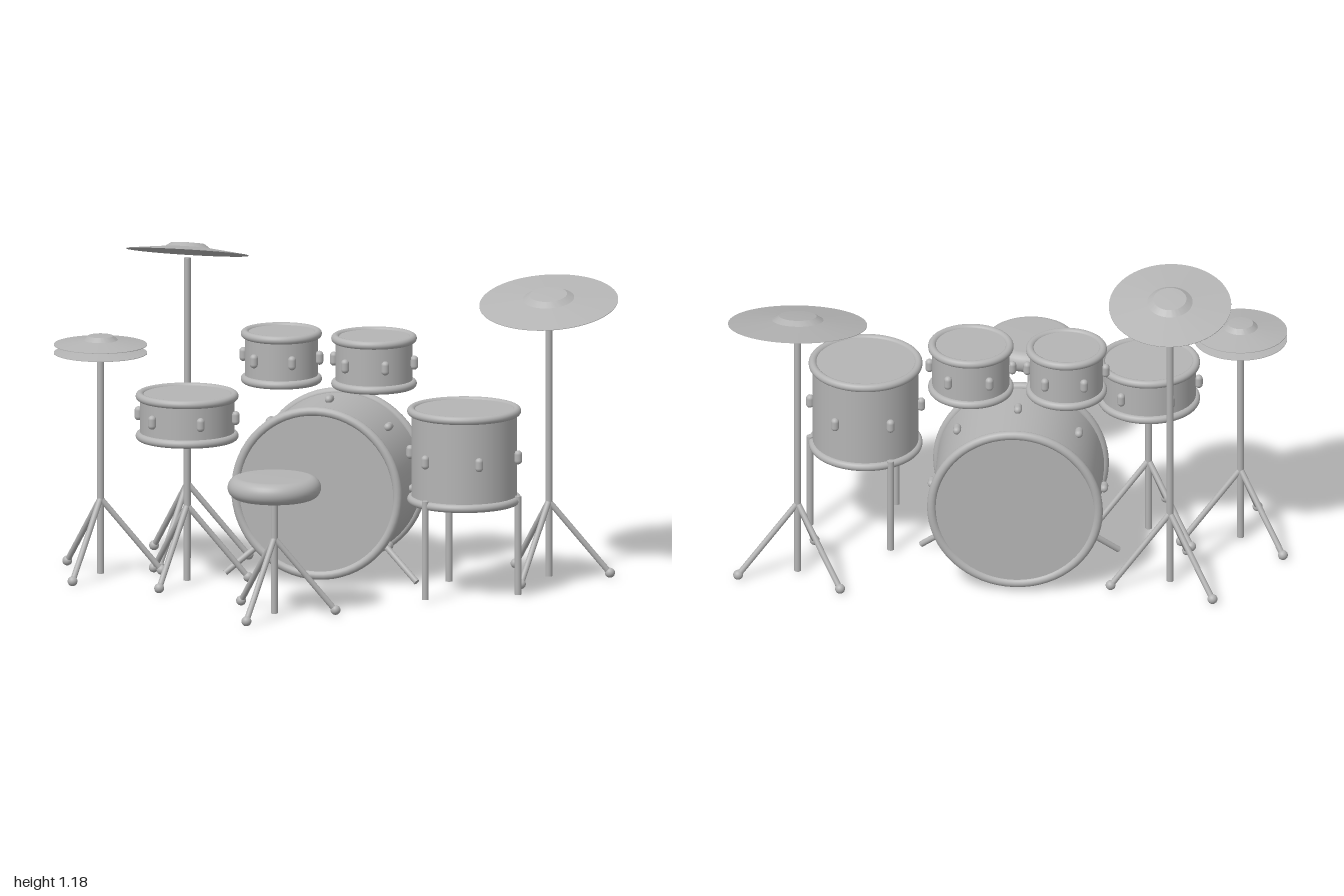
import * as THREE from 'three';
import { toCreasedNormals } from 'three/addons/utils/BufferGeometryUtils.js';

const grey = new THREE.MeshStandardMaterial({ color: 0xb4b4b4 });
grey.name = 'plain grey';

function part(parent, name, geometry, x = 0, y = 0, z = 0) {
  const mesh = new THREE.Mesh(geometry, grey);
  mesh.name = name;
  mesh.position.set(x, y, z);
  parent.add(mesh);
  return mesh;
}

function group(parent, name, x, y, z) {
  const g = new THREE.Group();
  g.name = name;
  g.position.set(x, y, z);
  parent.add(g);
  return g;
}

// Round bar between two points
function bar(parent, name, a, b, radius) {
  const from = new THREE.Vector3(...a), to = new THREE.Vector3(...b);
  const dir = to.clone().sub(from);
  const mesh = part(parent, name, new THREE.CylinderGeometry(radius, radius, dir.length(), 16));
  mesh.position.copy(from).addScaledVector(dir, 0.5);
  mesh.quaternion.setFromUnitVectors(new THREE.Vector3(0, 1, 0), dir.normalize());
  return mesh;
}

// Drum standing on its axis: shell, two heads, two hoops and a ring of lugs
function drum(parent, name, [x, y, z], radius, height, lugs, hoop = 0.015) {
  const g = group(parent, name, x, y, z);
  part(g, 'shell', new THREE.CylinderGeometry(radius, radius, height, 64));
  const headRadius = radius - 0.006;
  part(g, 'heads', new THREE.CylinderGeometry(headRadius, headRadius, height + 0.014, 64));
  for (const side of [-1, 1]) {
    part(g, 'hoop', new THREE.TorusGeometry(radius, hoop, 16, 64), 0, side * height / 2, 0).rotation.x = Math.PI / 2;
  }
  const lugGeometry = new THREE.CapsuleGeometry(0.0145, 0.022, 6, 14);
  for (let i = 0; i < lugs; i++) {
    const a = i / lugs * Math.PI * 2, r = radius + 0.01;
    part(g, 'lug', lugGeometry, Math.cos(a) * r, 0, Math.sin(a) * r);
  }
  return g;
}

// Pole with three splayed legs on round feet
function stand(parent, name, x, z, top) {
  const g = group(parent, name, x, 0, z);
  bar(g, 'pole', [0, 0.015, 0], [0, top, 0], 0.0125);
  const footGeometry = new THREE.SphereGeometry(0.018, 20, 14);
  for (let i = 0; i < 3; i++) {
    const a = -0.3 + i * Math.PI * 2 / 3;
    const fx = Math.cos(a) * 0.22, fz = Math.sin(a) * 0.22;
    bar(g, 'leg', [0, 0.29, 0], [fx, 0.024, fz], 0.0105);
    part(g, 'foot', footGeometry, fx, 0.025, fz);
  }
  return g;
}

// Thin cone with a raised bell and a flat underside
function cymbal(parent, name, radius, x, y, z, tilt = 0) {
  const profile = [[0, 0], [radius, 0], [radius, 0.002], [radius * 0.37, 0.018],
    [radius * 0.27, 0.033], [0, 0.036]].map(p => new THREE.Vector2(...p));
  const geometry = toCreasedNormals(new THREE.LatheGeometry(profile, 64), 0.3);
  part(parent, name, geometry, x, y, z).rotation.x = tilt;
}

export function createModel() {
  const kit = new THREE.Group();
  kit.name = 'drumKit';

  // Bass drum lying on its side, with two spurs
  drum(kit, 'bassDrum', [-0.037, 0.335, -0.344], 0.3, 0.372, 8, 0.0165).rotation.x = Math.PI / 2;
  for (const side of [-1, 1]) {
    bar(kit, 'bassSpur', [-0.037 + side * 0.2, 0.15, -0.29], [-0.037 + side * 0.355, 0.015, -0.22], 0.011);
  }

  // Rack toms
  drum(kit, 'rightRackTom', [-0.21, 0.798, -0.322], 0.131, 0.165, 6);
  drum(kit, 'leftRackTom', [0.134, 0.798, -0.32], 0.139, 0.165, 6);

  // Floor tom on three legs
  const [fx, fz] = [0.526, -0.093];
  drum(kit, 'floorTom', [fx, 0.517, fz], 0.19, 0.322, 6);
  for (let i = 0; i < 3; i++) {
    const a = i * Math.PI * 2 / 3, x = fx + Math.cos(a) * 0.2, z = fz + Math.sin(a) * 0.2;
    bar(kit, 'floorTomLeg', [x, 0.015, z], [x, 0.375, z], 0.0125);
  }

  // Snare
  drum(kit, 'snareDrum', [-0.49, 0.618, -0.05], 0.17, 0.145, 6);
  stand(kit, 'snareStand', -0.49, -0.05, 0.54);

  // Paired cymbals
  stand(kit, 'hiHatStand', -0.823, -0.097, 0.818);
  cymbal(kit, 'lowerHiHat', 0.168, -0.823, 0.822, -0.097);
  cymbal(kit, 'upperHiHat', 0.168, -0.823, 0.852, -0.097);

  // Tilted cymbals
  stand(kit, 'crashStand', -0.59, -0.445, 1.115);
  cymbal(kit, 'crashCymbal', 0.22, -0.59, 1.135, -0.445, -0.25);
  stand(kit, 'rideStand', 0.75, -0.445, 1.0);
  cymbal(kit, 'rideCymbal', 0.25, 0.75, 1.016, -0.445, 0.22);

  // Stool with a rounded cushion
  stand(kit, 'stoolStand', -0.037, 0.458, 0.45);
  const cushion = [new THREE.Vector2(0, 0)];
  for (let i = 0; i <= 14; i++) {
    const a = -Math.PI / 2 + i / 14 * Math.PI;
    cushion.push(new THREE.Vector2(0.13 + Math.cos(a) * 0.038, 0.039 + Math.sin(a) * 0.039));
  }
  cushion.push(new THREE.Vector2(0, 0.078));
  part(kit, 'stoolCushion', new THREE.LatheGeometry(cushion, 64), -0.037, 0.437, 0.458);

  return kit;
}
